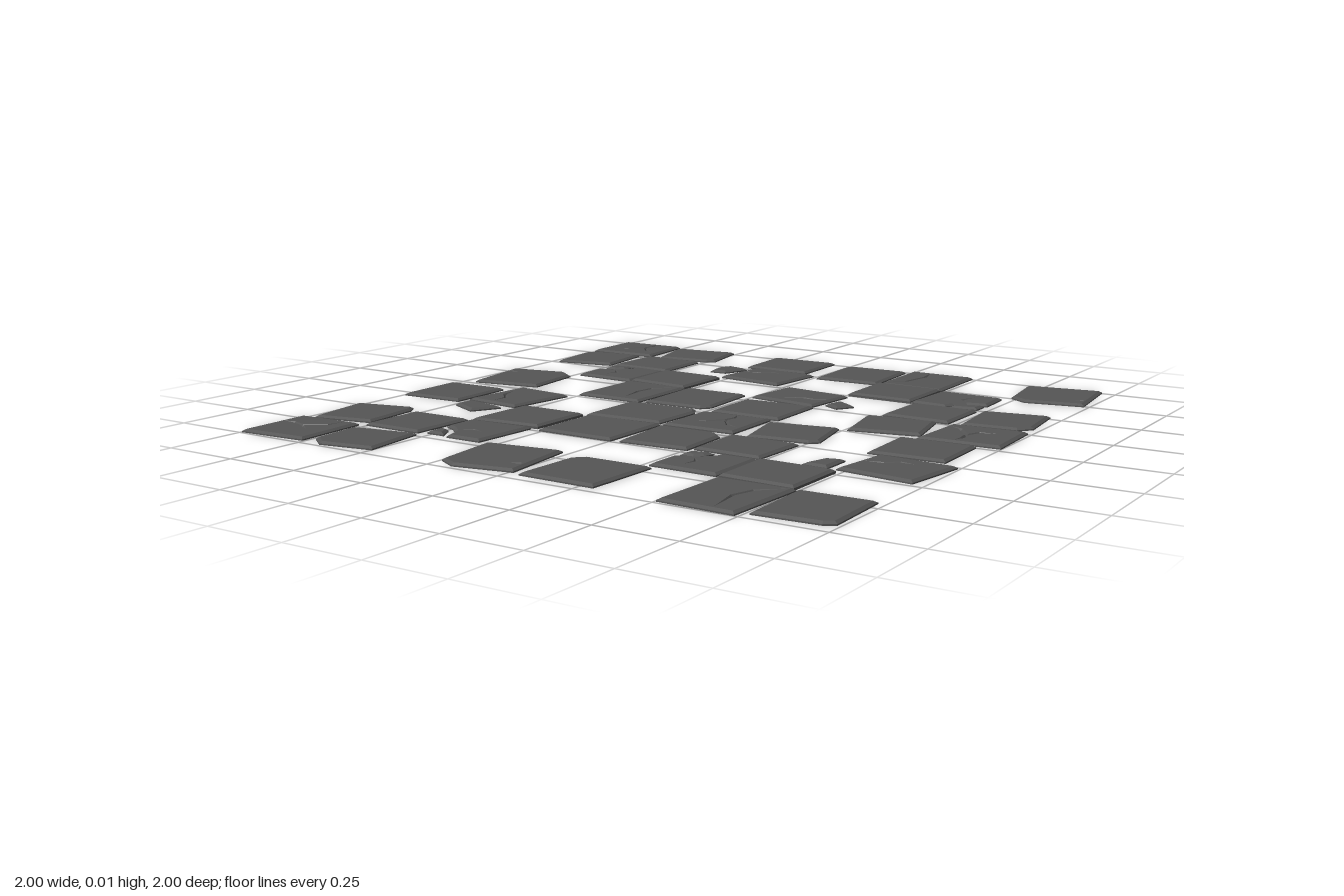
import * as THREE from 'three';

const stone = new THREE.MeshStandardMaterial({ color: 0x555555 });
stone.name = 'dark stone';

const HEIGHT = 1, RAISED = 1.3, DROP = 0.6, INSET = 1, CRACK_HALF = 0.65, CRACK_DEPTH = 0.8;

// All plan sizes below are in hundredths of a unit, as x, z pairs running clockwise from above.
const pairs = (a) => Array.from({ length: a.length / 2 }, (_, i) => new THREE.Vector2(a[2 * i], a[2 * i + 1]));
const polar = (p, angle, r) => new THREE.Vector2(p.x + Math.cos(angle) * r, p.y + Math.sin(angle) * r);

// Shrinks an outline by t with mitred corners
function inset(pts, t) {
  const n = pts.length;
  const normal = (a, b) => new THREE.Vector2(a.y - b.y, b.x - a.x).normalize();
  return pts.map((p, i) => {
    const n1 = normal(pts[(i + n - 1) % n], p), n2 = normal(p, pts[(i + 1) % n]);
    return p.clone().addScaledVector(n1.clone().add(n2), t / (1 + n1.dot(n2)));
  });
}

function inside(p, poly) {
  let hit = false;
  poly.forEach((a, i) => {
    const b = poly[(i + 1) % poly.length];
    if ((a.y > p.y) !== (b.y > p.y) && p.x < a.x + (b.x - a.x) * (p.y - a.y) / (b.y - a.y)) hit = !hit;
  });
  return hit;
}

// Crack of tapering arms around a centre: rim outline and the strips down to its spine
function makeCrack([cx, cz, ...arms], limit) {
  const c = new THREE.Vector2(cx, cz);
  const list = arms.map((a) => {
    const pts = pairs(a), tip = pts[pts.length - 1], from = pts.length > 1 ? pts[pts.length - 2] : c;
    for (let i = 0; i < 30 && !inside(tip, limit); i++) tip.lerp(from, 0.1);
    return { pts, angle: Math.atan2(pts[0].y - cz, pts[0].x - cx) };
  }).sort((a, b) => a.angle - b.angle);
  const n = list.length;
  const corners = list.map((a, k) => {
    const next = list[(k + 1) % n].angle + (k === n - 1 ? 2 * Math.PI : 0);
    const half = (next - a.angle) / 2;
    return polar(c, a.angle + half, CRACK_HALF / Math.max(Math.sin(half), 0.5));
  });
  const rim = [], strips = [];
  list.forEach(({ pts }, k) => {
    const spine = [c, ...pts], right = [corners[(k + n - 1) % n]], left = [corners[k]];
    for (let i = 1; i < spine.length - 1; i++) {
      const d = spine[i + 1].clone().sub(spine[i - 1]).angle();
      right.push(polar(spine[i], d - Math.PI / 2, CRACK_HALF));
      left.push(polar(spine[i], d + Math.PI / 2, CRACK_HALF));
    }
    const tip = spine[spine.length - 1];
    rim.push(...right, tip, ...left.slice(1).reverse());
    strips.push({ spine, side: [...right, tip] }, { spine, side: [...left, tip] });
  });
  return { rim, strips };
}

// One bevelled paving slab, optionally cracked
function slabGeometry(outline, height, crackData) {
  const pos = [];
  const at = (p, y) => [p.x / 100, y / 100, p.y / 100];
  const tri = (a, b, c) => pos.push(...a, ...b, ...c);
  const flat = (a, b, c, up) => { // orders corners so the face points up or down
    const s = (b[2] - a[2]) * (c[0] - a[0]) - (b[0] - a[0]) * (c[2] - a[2]);
    if (Math.abs(s) < 1e-10) return;
    if ((s > 0) === up) tri(a, b, c); else tri(a, c, b);
  };
  const cap = (contour, holes, y, up) => {
    const all = [contour, ...holes].flat();
    THREE.ShapeUtils.triangulateShape(contour.slice(), holes.map((h) => h.slice()))
      .forEach((f) => flat(...f.map((i) => at(all[i], y)), up));
  };
  const top = inset(outline, INSET);
  const crack = crackData && makeCrack(crackData, inset(outline, INSET + 0.25));

  // Sides and bevel
  const rings = [[outline, 0], [outline, height - DROP], [top, height]];
  for (let r = 0; r < 2; r++) {
    const [lo, y0] = rings[r], [hi, y1] = rings[r + 1];
    lo.forEach((_, i) => {
      const j = (i + 1) % lo.length;
      tri(at(lo[i], y0), at(hi[i], y1), at(hi[j], y1));
      tri(at(lo[i], y0), at(hi[j], y1), at(lo[j], y0));
    });
  }
  cap(outline, [], 0, false);
  cap(top, crack ? [crack.rim] : [], height, true);

  // Sloping crack walls
  if (crack) for (const { spine, side } of crack.strips) {
    const deep = (i) => at(spine[i], i === spine.length - 1 ? height : height - CRACK_DEPTH);
    for (let i = 0; i < spine.length - 1; i++) {
      flat(at(side[i], height), at(side[i + 1], height), deep(i + 1), true);
      flat(at(side[i], height), deep(i + 1), deep(i), true);
    }
  }
  const g = new THREE.BufferGeometry();
  g.setAttribute('position', new THREE.Float32BufferAttribute(pos, 3));
  g.computeVertexNormals();
  return g;
}

export function createModel() {
  const group = new THREE.Group();
  group.name = 'brokenPaving';
  const add = (name, pts, crack, height = HEIGHT) => {
    const mesh = new THREE.Mesh(slabGeometry(pairs(pts), height, crack), stone);
    mesh.name = name;
    group.add(mesh);
  };
  const slab = (...p) => add('slab', p);
  const raised = (...p) => add('raisedSlab', p, null, RAISED);
  const shard = (...p) => add('shard', p);
  const cracked = (p, ...crack) => add('crackedSlab', p, crack); // centre x, z, then arms

  // Back row
  cracked([-100, -99, -75.5, -100, -74, -77.5, -99.5, -76.5], -85.5, -91, [-84.5, -95, -86, -99], [-90, -85.5, -93.5, -84.5], [-81, -85, -75, -82.5]);
  slab(-74, -96.3, -50.5, -100, -47, -81.3, -49.5, -79, -69, -76.5);
  slab(-31, -99, -6.5, -100, -6, -77, -30, -77);
  slab(1, -94.5, 4, -97, 23.5, -98, 25, -72, 2, -71);
  cracked([25.5, -100, 48.5, -100, 49, -72, 26, -73], 34.5, -91, [33, -99], [32.5, -80, 27, -74.5]);
  cracked([70.5, -96, 95.5, -100, 98.5, -74, 79.5, -70.5, 73.5, -74.5], 95, -80, [92.5, -79], [97.5, -81]);

  // Second row
  slab(-99, -70.5, -96, -73, -78, -75.5, -75.5, -54, -96.5, -50);
  slab(-73, -76, -51, -75.5, -50.5, -53.5, -73.5, -54);
  shard(-35.5, -74, -27.5, -72, -31, -63, -37, -62.5, -38, -68.5);
  cracked([-25.5, -76, -1, -74, -3, -52, -27.5, -55], -18.5, -67, [-26, -66], [-15, -70, -11, -69]);
  raised(25.5, -72.5, 49, -72, 49, -49, 26, -49.5);
  cracked([50, -71, 72, -70, 72.5, -57, 66, -55.5, 63, -52, 61.5, -48.5, 49, -49.5], 62.5, -60, [64.5, -65.5], [65, -57.5]);
  shard(72, -55.5, 72, -49.5, 62.5, -48, 64.5, -52, 68, -54);

  // Third row
  shard(-72.5, -52, -64.5, -53, -65.5, -49, -68.5, -47, -72, -46.5);
  cracked([-62.5, -53, -50, -52, -50, -30.5, -72.5, -31.5, -73, -43, -67, -45, -63.5, -48], -62.5, -40, [-65.5, -43.5], [-64, -36]);
  raised(-50, -53, -26.5, -52, -26.5, -29, -49.5, -31);
  cracked([3, -49.5, 27.5, -46, 25.5, -25.5, 1, -29], 17, -34.5, [10.5, -31.5], [21.5, -34, 25.5, -37]);
  shard(29.5, -37.5, 37, -32.5, 33.5, -27, 28, -30);
  slab(51, -47.5, 73, -47, 73, -25.5, 50.5, -26);
  slab(75, -47.5, 96, -51, 98, -32, 94.5, -27.5, 77, -26);

  // Fourth row
  cracked([-99, -27, -79, -31, -73.5, -27, -71, -5, -95, -1], -95.5, -21.5, [-98, -21], [-93, -22]);
  cracked([-49.5, -29.5, -26, -29, -26, -1.5, -50, -1.5], -34, -21, [-27, -28], [-35, -14.5, -33, -2.5]);
  slab(-25, -29.5, -2.5, -30, -1, -7, -3.5, -4, -24, -3);
  slab(2, -23.5, 26.5, -24.5, 27, -1.5, 2.5, -1.5);
  slab(47, -22, 69.5, -24.5, 73.5, -5, 51.5, -0.5);
  cracked([75, -24, 99, -25, 100, -2, 74, -1], 85.5, -11, [80.5, -18, 76, -20], [87.5, -16, 93, -17], [86, -6.5, 85, -2.5]);

  // Fifth row
  slab(-99.5, 6, -77, 5.5, -76.5, 29, -99, 30);
  cracked([-72.5, 0.5, -51.5, 3, -54.5, 27, -75, 25], -69.5, 13.5, [-70, 9], [-65.5, 18, -65.5, 25]);
  shard(-72.5, 27, -57.5, 30, -62.5, 39, -73, 34);
  slab(-27.5, 0.5, -3, -0.5, -0.5, 3.5, -1, 22.5, -27.5, 24);
  cracked([1, 1, 25, 0, 25.5, 22.5, 1, 23.5], 14.5, 9, [15.5, 5, 14, 1.5], [10.5, 14, 6.5, 15.5], [19, 15, 24.5, 17.5]);
  slab(26.5, 4, 49, 0, 53, 19, 50.5, 21.5, 31, 24);
  slab(69.5, 1, 93.5, 0.5, 94, 22.5, 70.5, 23.5);

  // Sixth row
  raised(-51.5, 25.5, -28, 25.5, -28, 48, -52, 50);
  slab(-26, 25, 0.5, 24.5, 0.5, 50, -26, 50);
  slab(1.5, 26, 21, 25.5, 25, 29, 26, 48, 3.5, 49.5);
  slab(26.5, 25, 49.5, 25.5, 49, 46.5, 27, 46);
  shard(64.5, 37, 70, 35.5, 70, 46, 62, 45.5);
  cracked([75, 25, 99.5, 26.5, 96.5, 48.5, 72.5, 45.5], 81, 34, [74, 35], [84.5, 31, 89.5, 31.5]);

  // Seventh row
  slab(-100, 50.5, -80.5, 46, -78.5, 49, -76.5, 69, -96.5, 73);
  slab(-75, 50.5, -53.5, 50.5, -54, 72.5, -75, 72.5);
  cracked([-52, 50.5, -29.5, 49.5, -30.5, 72, -43, 72, -45, 66, -48.5, 63, -52, 61.5], -41, 62, [-44.5, 64], [-36.5, 63.5]);
  shard(-51.5, 64, -48, 65.5, -45, 71, -51.5, 71);
  shard(28.5, 49.5, 35.5, 48.5, 34.5, 52, 32, 54, 28, 54.5);
  cracked([38.5, 48.5, 49.5, 48.5, 49.5, 69.5, 27.5, 69, 27.5, 57, 33.5, 55, 37, 52], 37, 60, [34.5, 57], [36, 65]);
  raised(50, 48, 74, 48.5, 74, 71, 50.5, 70);

  // Front row
  cracked([-100, 74.5, -77, 73.5, -75.5, 98, -99.5, 99.5], -89.5, 85, [-82.5, 81, -81.5, 75.5], [-94.5, 83.5, -99, 84], [-83.5, 89]);
  slab(-74.5, 78.5, -52.5, 74.5, -49.5, 96, -67.5, 99, -73, 95);
  cracked([-27, 72.5, -2, 69, 1.5, 95, -17.5, 98.5, -24, 95], -2, 88.5, [-4.5, 89.5], [0, 87.5]);
  slab(5, 75, 8.5, 71.5, 30, 71.5, 29.5, 97, 4.5, 96.5);
  cracked([51, 71.5, 75, 71.5, 74, 100, 50.5, 99], 67, 79, [73.5, 73], [65, 86, 67, 98]);
  slab(75.5, 71.5, 98, 71, 99, 94, 96, 96, 76.5, 97);

  return group;
}
